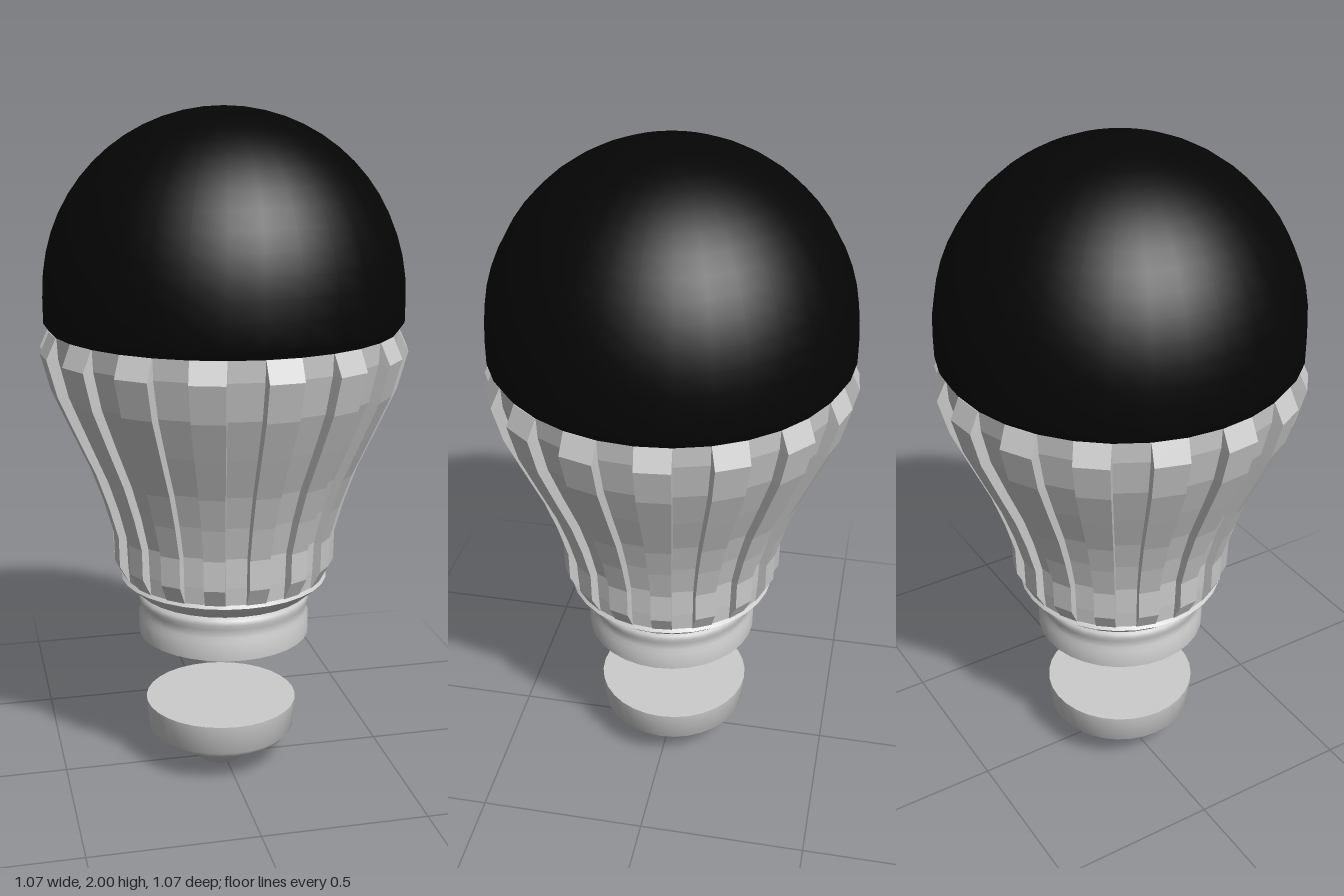
import * as THREE from 'three';
import { toCreasedNormals } from 'three/addons/utils/BufferGeometryUtils.js';

const SIDES = 32;
const grey = new THREE.MeshStandardMaterial({ color: 0xcccccc });
const flatGrey = new THREE.MeshStandardMaterial({ color: 0xcccccc, flatShading: true });
const black = new THREE.MeshStandardMaterial({ color: 0x050505 });

// Turned part from [radius, height] points listed bottom to top
function turned(name, points, material, crease = 0.6) {
  const lathe = new THREE.LatheGeometry(points.map(([r, y]) => new THREE.Vector2(r, y)), SIDES);
  const mesh = new THREE.Mesh(toCreasedNormals(lathe, crease), material);
  mesh.name = name;
  return mesh;
}

// Heat sink stations: height, body radius, distance to the fin's outer face
const stations = [
  [0.625, 0.303, 0.303], [0.68, 0.308, 0.332], [0.77, 0.312, 0.334], [0.87, 0.338, 0.362],
  [0.97, 0.372, 0.397], [1.09, 0.425, 0.451], [1.21, 0.475, 0.504], [1.32, 0.502, 0.533], [1.38, 0.505, 0.505],
];

// One fin: a box whose rows follow the stations, as wide as one side of the body
function finGeometry() {
  const rows = stations.length - 1;
  const half = Math.PI / SIDES;
  const geometry = new THREE.BoxGeometry(1, 1, 1, 1, rows, 1);
  const p = geometry.attributes.position;
  for (let i = 0; i < p.count; i++) {
    const [y, inner, outer] = stations[Math.round((p.getY(i) + 0.5) * rows)];
    const seat = inner * Math.cos(half);
    const z = p.getZ(i) > 0 ? Math.max(outer, seat) : seat - 0.01;
    p.setXYZ(i, Math.sign(p.getX(i)) * inner * Math.sin(half), y, z);
  }
  geometry.computeVertexNormals();
  return geometry;
}

export function createModel() {
  const bulb = new THREE.Group();
  bulb.name = 'lightBulb';

  // Dome: sphere cap with a short straight rim tucked in at the bottom
  const dome = [[0, 1.38], [0.505, 1.38], [0.522, 1.405]];
  for (let i = 0; i <= 14; i++) {
    const a = (i / 14) * Math.PI / 2;
    dome.push([0.522 * Math.cos(a), 1.478 + 0.522 * Math.sin(a)]);
  }
  bulb.add(turned('dome', dome, black));

  // Faceted heat sink body
  const body = [...stations.map(([y, r]) => [r, y]), [0, 1.38]];
  bulb.add(turned('heatSinkBody', body, flatGrey));

  // Fins on every other side of the body
  const fins = new THREE.Group();
  fins.name = 'fins';
  const geometry = finGeometry();
  for (let i = 0; i < SIDES / 2; i++) {
    const fin = new THREE.Mesh(geometry, flatGrey);
    fin.name = 'fin';
    fin.rotation.y = (2 * i + 0.5) * (2 * Math.PI / SIDES);
    fins.add(fin);
  }
  bulb.add(fins);

  // Collar below the fins
  bulb.add(turned('collar', [
    [0, 0.565], [0.24, 0.565], [0.262, 0.573], [0.312, 0.618], [0.303, 0.627], [0, 0.627],
  ], grey));

  // Ring of the screw base, closed below
  bulb.add(turned('baseRing', [
    [0, 0.435], [0.26, 0.435], [0.26, 0.492], [0.254, 0.505], [0.254, 0.53],
    [0.26, 0.545], [0.257, 0.558], [0.24, 0.57], [0, 0.57],
  ], grey, 0.9));

  // Separate bottom contact: shallow cup with a conical tip
  const contact = turned('bottomContact', [
    [0, 0], [0.07, 0], [0.112, 0.045], [0.215, 0.1], [0.226, 0.115], [0.233, 0.205], [0, 0.205],
  ], grey, 0.9);
  contact.position.set(-0.008, 0, -0.006);
  bulb.add(contact);

  return bulb;
}
